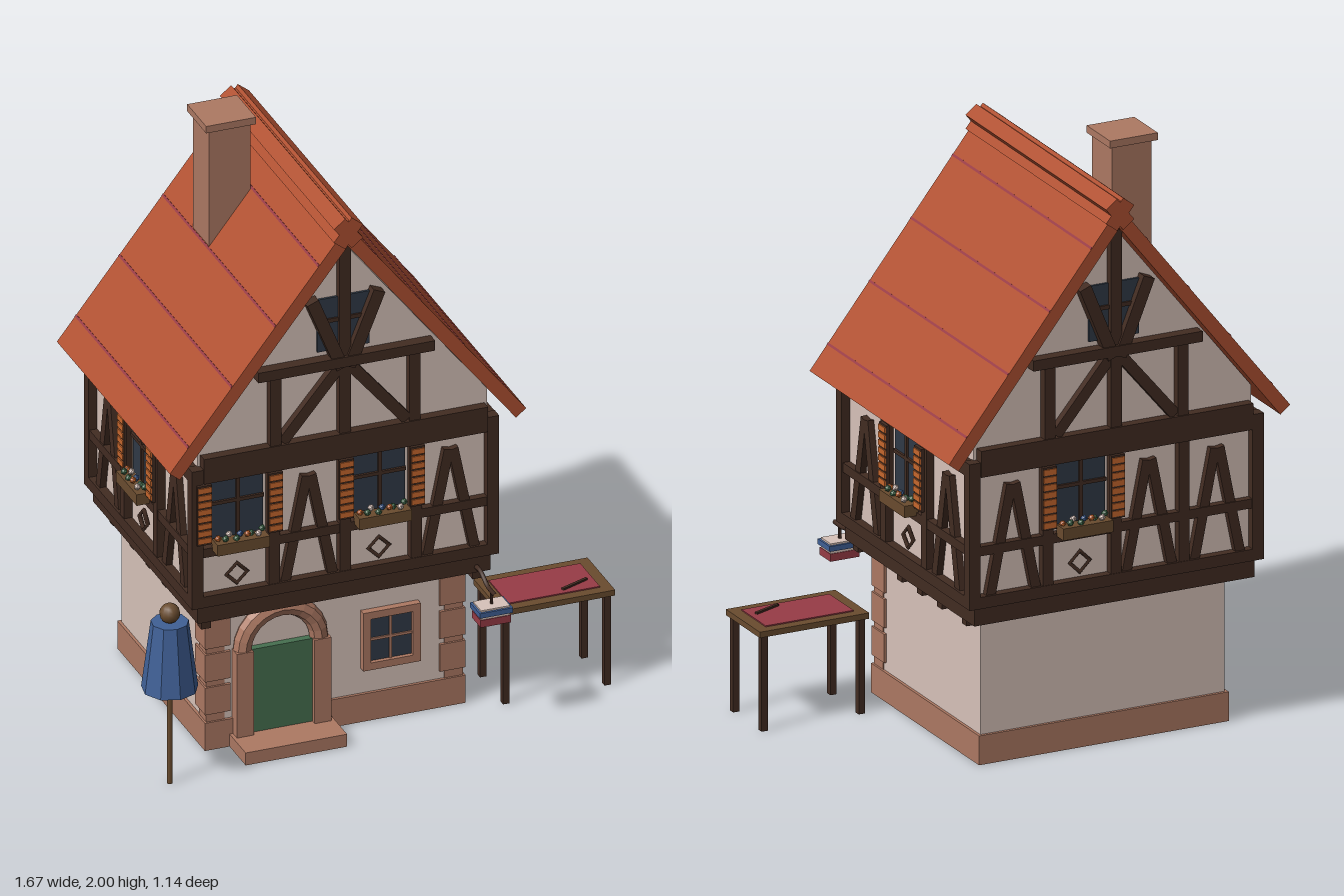
import * as THREE from 'three';

const material = (name, color) => Object.assign(new THREE.MeshStandardMaterial({ color }), { name });
const M = {
  plaster: material('plaster', 0xd8c3ba), timber: material('dark timber', 0x422c22),
  stone: material('sandstone', 0xad7963), roof: material('roof tile', 0xb05132),
  glass: material('window glass', 0x303a47), orange: material('shutter orange', 0xc8682e),
  green: material('door green', 0x467050), blue: material('cloth blue', 0x406096),
  red: material('dark red', 0x983c46), wood: material('brown wood', 0x6a4c2f),
};

function add(parent, name, geo, mat, x = 0, y = 0, z = 0) {
  const mesh = new THREE.Mesh(geo, mat);
  mesh.name = name;
  mesh.position.set(x, y, z);
  parent.add(mesh);
  return mesh;
}
const box = (p, name, mat, x, y, z, w, h, d) => add(p, name, new THREE.BoxGeometry(w, h, d), mat, x, y, z);

function group(parent, name, x = 0, y = 0, z = 0) {
  const g = new THREE.Group();
  g.name = name;
  g.position.set(x, y, z);
  parent.add(g);
  return g;
}

// Straight timber between two points of a facade plane
function beam(p, x1, y1, x2, y2, w = 0.035, d = 0.03) {
  const m = box(p, 'beam', M.timber, (x1 + x2) / 2, (y1 + y2) / 2, d / 2, Math.hypot(x2 - x1, y2 - y1), w, d);
  m.rotation.z = Math.atan2(y2 - y1, x2 - x1);
}

function extrude(points, depth) {
  const shape = new THREE.Shape(points.map(([x, y]) => new THREE.Vector2(x, y)));
  return new THREE.ExtrudeGeometry(shape, { depth, bevelEnabled: false }).translate(0, 0, -depth / 2);
}

// Window with louvred shutters, flower box and a diamond ornament below
function shutteredWindow(p, x) {
  const g = group(p, 'shutteredWindow', x);
  box(g, 'glass', M.glass, 0, 0.91, 0.008, 0.18, 0.22, 0.008);
  box(g, 'mullion', M.timber, 0, 0.91, 0.014, 0.012, 0.22, 0.012);
  box(g, 'crossbar', M.timber, 0, 0.935, 0.014, 0.18, 0.012, 0.012);
  for (const s of [-1, 1]) {
    box(g, 'shutter', M.timber, s * 0.123, 0.91, 0.034, 0.05, 0.215, 0.012);
    for (let i = 0; i < 8; i++) {
      box(g, 'shutterSlat', M.orange, s * 0.123, 0.819 + i * 0.026, 0.038, 0.046, 0.019, 0.012);
    }
  }
  box(g, 'flowerBox', M.wood, 0, 0.79, 0.045, 0.18, 0.04, 0.05);
  const petals = [M.orange, M.green, M.plaster, M.green, M.blue];
  for (let i = 0; i < 9; i++) {
    add(g, 'flower', new THREE.IcosahedronGeometry(0.012, 0), petals[i % 5],
      -0.076 + i * 0.019, 0.816 + (i % 3) * 0.005, 0.045 + (i % 2 ? 0.01 : -0.008));
  }
  add(g, 'diamondOrnament', new THREE.TorusGeometry(0.036, 0.008, 4, 4), M.timber, 0, 0.665, 0.01);
}

// One timber-framed upper wall; each bay is W (window) or A (braces)
function facade(house, half, depth, angle, bays) {
  const g = group(house, 'timberFacade');
  g.rotation.y = angle;
  const p = group(g, 'framing', 0, 0, depth);
  beam(p, -half, 0.59, half, 0.59, 0.04);
  beam(p, -half, 0.765, half, 0.765, 0.032, 0.026);
  beam(p, -half, 1.045, half, 1.045, 0.045);
  const step = (2 * half) / bays.length;
  [...bays].forEach((kind, i) => {
    const x = -half + step * (i + 0.5);
    if (i > 0) beam(p, x - step / 2, 0.57, x - step / 2, 1.06, 0.038, 0.028);
    if (kind === 'W') return shutteredWindow(p, x);
    for (const s of [-1, 1]) beam(p, x + s * 0.008, 0.975, x + s * 0.085, 0.59, 0.034, 0.022);
  });
  return p;
}

// Framing and small window in the gable triangle
function gable(p) {
  box(p, 'gableWindow', M.glass, 0, 1.505, 0.008, 0.18, 0.19, 0.008);
  beam(p, -0.09, 1.52, 0.09, 1.52, 0.014, 0.018);
  beam(p, -0.49, 1.065, 0.49, 1.065, 0.09, 0.034);
  beam(p, -0.305, 1.372, 0.305, 1.372, 0.036, 0.04);
  beam(p, 0, 1.1, 0, 1.8, 0.04, 0.028);
  for (const s of [-1, 1]) {
    beam(p, s * 0.24, 1.1, s * 0.24, 1.36, 0.038);
    beam(p, s * 0.01, 1.36, s * 0.215, 1.115, 0.038, 0.026);
    beam(p, s * 0.012, 1.35, s * 0.115, 1.605, 0.042, 0.036);
  }
}

function groundFloor(house) {
  box(house, 'groundWall', M.plaster, 0, 0.27, 0, 0.88, 0.5, 0.74);
  box(house, 'plinth', M.stone, 0, 0.05, 0, 0.9, 0.1, 0.76);
  for (const s of [-1, 1]) {
    box(house, 'cornerCore', M.stone, s * 0.411, 0.28, 0.341, 0.064, 0.37, 0.064);
    for (let i = 0; i < 3; i++) box(house, 'cornerStone', M.stone, s * 0.405, 0.178 + i * 0.119, 0.335, 0.088, 0.098, 0.09);
  }
  // Arched doorway
  const d = group(house, 'doorway', -0.19, 0, 0.37);
  box(d, 'doorStep', M.stone, 0, 0.0225, 0.075, 0.35, 0.045, 0.15);
  box(d, 'door', M.green, 0, 0.195, 0.01, 0.21, 0.3, 0.03);
  for (const s of [-1, 1]) box(d, 'doorJamb', M.stone, s * 0.134, 0.195, 0.02, 0.058, 0.305, 0.05);
  const archMat = M.stone;
  const arch = new THREE.TorusGeometry(0.132, 0.032, 8, 12, Math.PI).toNonIndexed();
  arch.computeVertexNormals();
  add(d, 'doorArch', arch, archMat, 0, 0.345, 0.012);
  // Ground window
  const w = group(house, 'groundWindow', 0.19, 0.295, 0.37);
  box(w, 'pane', M.glass, 0, 0, 0.006, 0.16, 0.17, 0.008);
  for (const s of [-1, 1]) {
    box(w, 'frameSide', M.stone, s * 0.086, 0, 0.01, 0.026, 0.21, 0.03);
    box(w, 'frameRail', M.stone, 0, s * 0.092, 0.01, 0.15, 0.026, 0.03);
  }
  box(w, 'mullion', M.stone, 0, 0, 0.01, 0.009, 0.16, 0.01);
  box(w, 'crossbar', M.stone, 0, 0, 0.01, 0.15, 0.009, 0.01);
}

function roof(house) {
  const r = group(house, 'roof');
  add(r, 'roofSlabs', extrude([[0, 1.87], [-0.615, 1.09], [-0.58, 1.062], [0, 1.797], [0.58, 1.062], [0.615, 1.09]], 0.98), M.roof);
  const slope = Math.atan2(0.78, 0.615);
  for (const s of [-1, 1]) {
    box(r, 'ridgeCap', M.roof, 0, 1.845, 0, 0.1, 0.05, 0.99).rotation.z = s * slope;
    // Thin course lines along the tiles
    for (const x of [0.1, 0.25, 0.4, 0.55]) {
      box(r, 'courseLine', M.red, s * x, 1.87 - x * 1.268, 0, 0.008, 0.004, 0.978).rotation.z = -s * slope;
    }
  }
  box(r, 'ridgeTop', M.roof, 0, 1.872, 0, 0.04, 0.035, 0.985);
  box(r, 'chimney', M.stone, -0.175, 1.715, -0.165, 0.143, 0.53, 0.14);
  box(r, 'chimneyCap', M.stone, -0.175, 1.9875, -0.167, 0.172, 0.025, 0.165);
}

// Hanging sign made of stacked slabs on a curved bracket
function hangingSign(root) {
  const g = group(root, 'hangingSign', 0.347, 0, 0.517);
  box(g, 'lowerSlab', M.red, 0, 0.413, 0, 0.105, 0.026, 0.075);
  box(g, 'middleSlab', M.plaster, 0, 0.431, 0, 0.1, 0.012, 0.07);
  box(g, 'upperSlab', M.blue, 0, 0.445, 0, 0.115, 0.018, 0.085);
  box(g, 'topSlab', M.plaster, 0, 0.456, 0, 0.1, 0.008, 0.07);
  const path = new THREE.CatmullRomCurve3([[0.485, -0.21], [0.52, -0.16], [0.53, -0.1], [0.505, -0.03], [0.505, 0.035]]
    .map(([y, z]) => new THREE.Vector3(0, y, z)));
  add(g, 'bracket', new THREE.TubeGeometry(path, 14, 0.008, 6), M.timber);
  box(g, 'hanger', M.timber, 0, 0.483, 0, 0.008, 0.05, 0.008);
}

function table(root) {
  const g = group(root, 'table', 0.633, 0, 0.255);
  box(g, 'tableTop', M.wood, 0, 0.335, 0, 0.394, 0.02, 0.24);
  box(g, 'tableCloth', M.red, 0, 0.346, 0, 0.316, 0.006, 0.17);
  for (const x of [-0.175, 0.175]) for (const z of [-0.1, 0.1]) box(g, 'tableLeg', M.timber, x, 0.163, z, 0.022, 0.326, 0.022);
  box(g, 'pen', M.timber, 0.087, 0.352, 0.045, 0.105, 0.007, 0.01).rotation.y = 0.38;
}

function parasol(root) {
  const g = group(root, 'foldedParasol', -0.745, 0, 0.47);
  add(g, 'pole', new THREE.CylinderGeometry(0.01, 0.01, 0.6, 8), M.wood, 0, 0.3);
  const cover = new THREE.CylinderGeometry(0.062, 0.093, 0.24, 9).toNonIndexed();
  cover.computeVertexNormals();
  add(g, 'cover', cover, M.blue, 0, 0.465);
  add(g, 'knob', new THREE.SphereGeometry(0.034, 12, 8), M.wood, 0, 0.615);
}

export function createModel() {
  const root = new THREE.Group();
  root.name = 'timberFramedHouse';
  const house = group(root, 'house', -0.11, 0, -0.07);
  groundFloor(house);

  // Overhanging upper storey
  add(house, 'upperWall', extrude([[-0.5, 0.56], [0.5, 0.56], [0.5, 1.16], [0, 1.79], [-0.5, 1.16]], 0.88), M.plaster);
  box(house, 'sill', M.timber, 0, 0.54, 0, 1.01, 0.064, 0.91);
  for (const s of [-1, 1]) {
    for (const t of [-1, 1]) box(house, 'cornerPost', M.timber, s * 0.51, 0.82, t * 0.45, 0.04, 0.5, 0.04);
    for (const z of [0.42, 0.11, -0.03, -0.17, -0.345]) box(house, 'joistEnd', M.timber, s * 0.468, 0.495, z, 0.034, 0.04, 0.034);
  }
  gable(facade(house, 0.49, 0.44, 0, 'WAWA'));
  gable(facade(house, 0.49, 0.44, Math.PI, 'AWAA'));
  facade(house, 0.43, 0.5, Math.PI / 2, 'AWA');
  facade(house, 0.43, 0.5, -Math.PI / 2, 'AWA');

  roof(house);
  hangingSign(root);
  table(root);
  parasol(root);
  return root;
}
